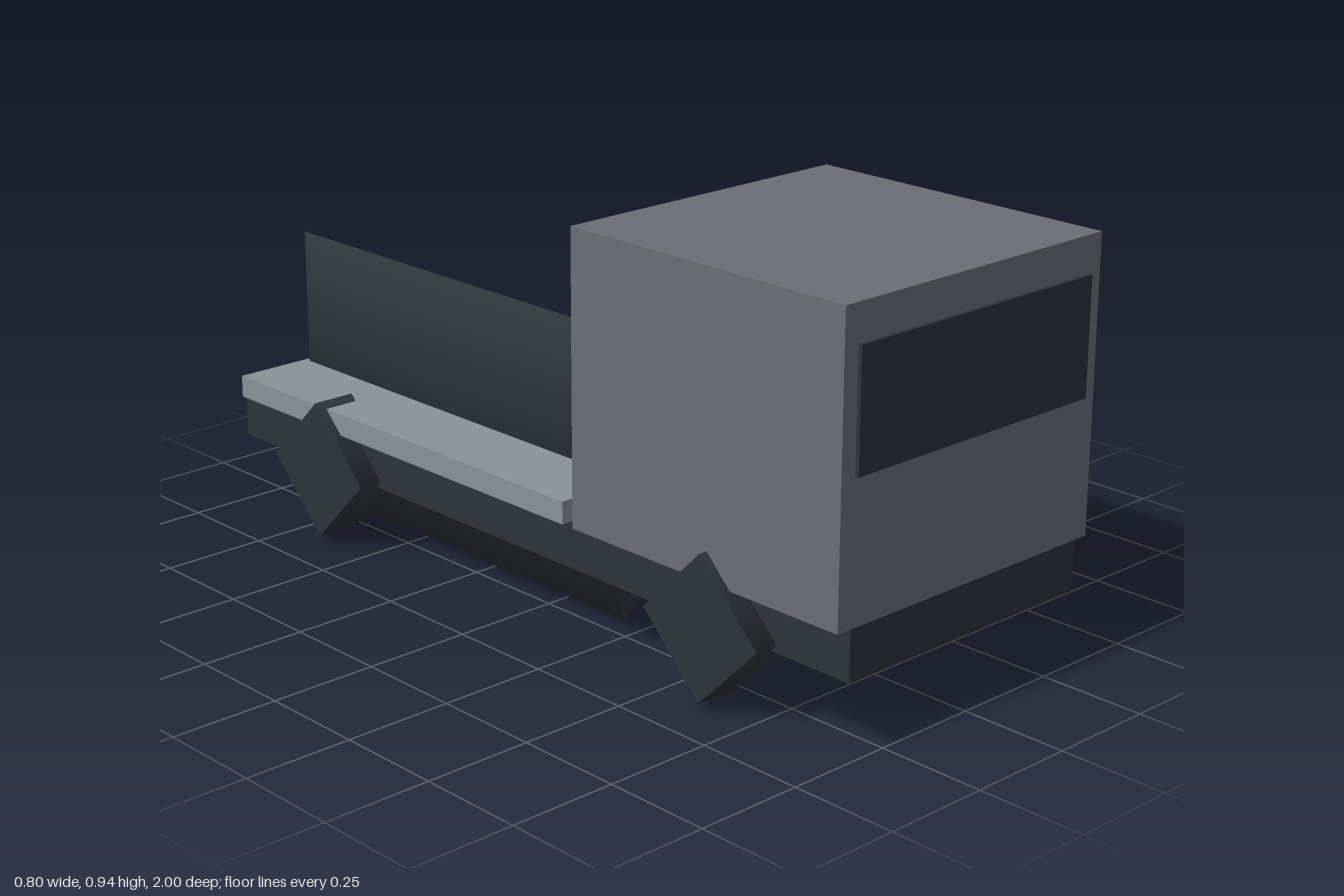
import * as THREE from 'three';

export function createModel() {
  const group = new THREE.Group();
  const paint = (name, color) => {
    const m = new THREE.MeshStandardMaterial({ color });
    m.name = name;
    return m;
  };
  const cabGrey = paint('cab grey', 0x6b6e77);
  const dark = paint('dark slate', 0x2d343a);
  const deckGrey = paint('light deck grey', 0x8a9298);

  const add = (name, geometry, material, x, y, z) => {
    const mesh = new THREE.Mesh(geometry, material);
    mesh.name = name;
    mesh.position.set(x, y, z);
    group.add(mesh);
  };
  // Box given by half width and its y and z ranges
  const box = (name, material, hw, y0, y1, z0, z1) =>
    add(name, new THREE.BoxGeometry(hw * 2, y1 - y0, z1 - z0), material, 0, (y0 + y1) / 2, (z0 + z1) / 2);

  box('chassis', dark, 0.343, 0.167, 0.281, -1, 0.99);
  box('cab', cabGrey, 0.38, 0.281, 0.942, 0.227, 0.99);
  box('windscreen', dark, 0.343, 0.596, 0.86, 0.991, 1);
  box('deck', deckGrey, 0.38, 0.281, 0.333, -0.962, 0.195);

  // Three-sided tank lying along the deck, one edge pointing to the left
  const tank = new THREE.CylinderGeometry(0.38, 0.38, 1.125, 3);
  tank.rotateX(Math.PI / 2).rotateZ(Math.PI / 2);
  add('tank', tank, dark, 0, 0.331, -0.384);

  // Four-sided wheels standing on a corner
  const wheel = new THREE.CylinderGeometry(0.164, 0.164, 0.105, 4);
  wheel.rotateZ(Math.PI / 2);
  for (const [end, z] of [['front', 0.63], ['rear', -0.642]])
    for (const [side, s] of [['Left', 1], ['Right', -1]])
      add(end + side + 'Wheel', wheel, dark, s * 0.3475, 0.184, z);

  return group;
}
